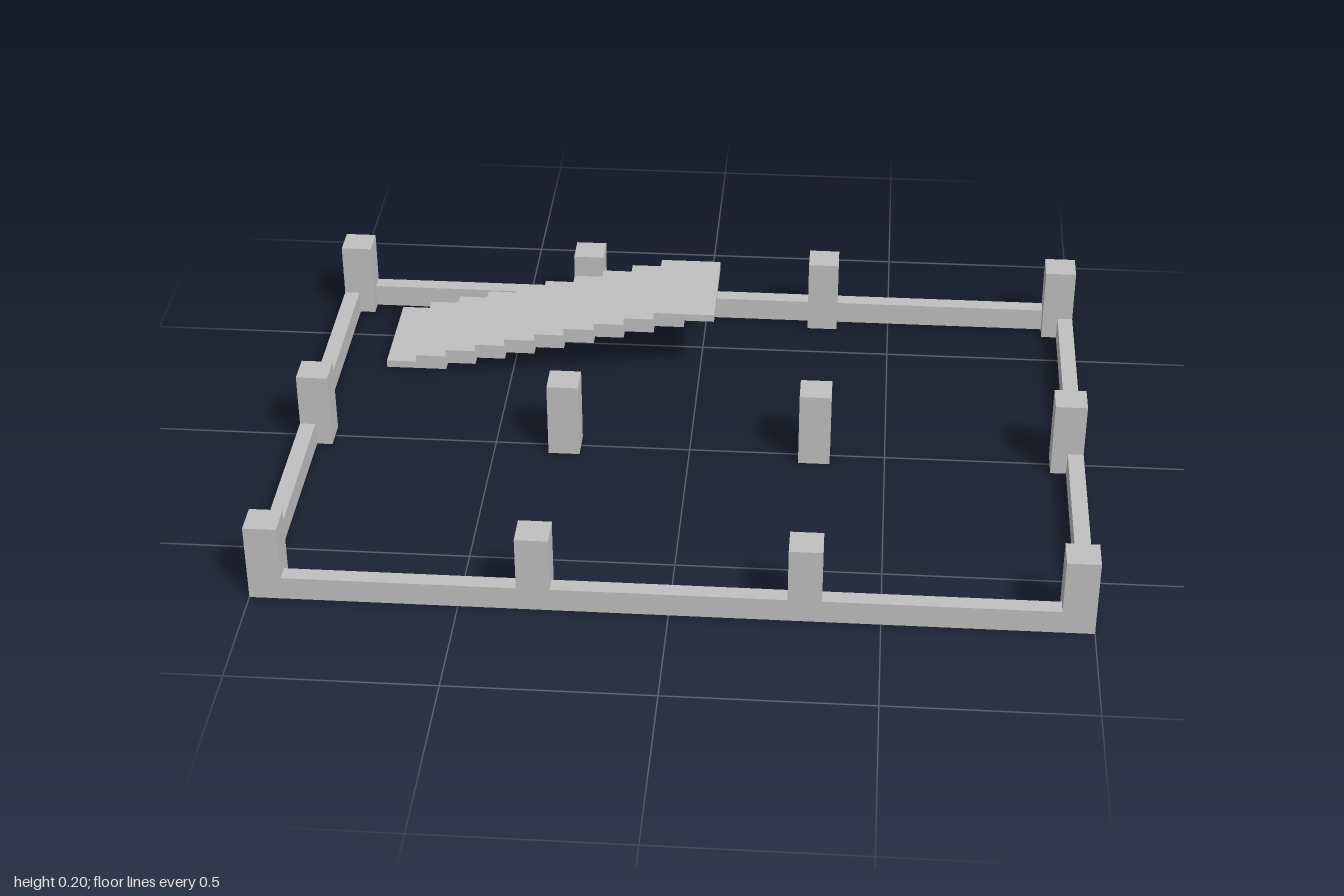
import * as THREE from 'three';

export function createModel() {
  const model = new THREE.Group();
  const grey = new THREE.MeshStandardMaterial({ color: 0xc0c0c0 });
  grey.name = 'concrete grey';

  // Box standing on height y, centred on x and z
  function box(name, w, h, d, x, y, z) {
    const mesh = new THREE.Mesh(new THREE.BoxGeometry(w, h, d), grey);
    mesh.name = name;
    mesh.position.set(x, y + h / 2, z);
    model.add(mesh);
  }

  // Columns on a four by three grid
  const columnX = [-0.96, -0.32, 0.32, 0.96];
  const columnZ = [-0.66, 0, 0.66];
  for (const x of columnX) {
    for (const z of columnZ) box('column', 0.08, 0.2, 0.08, x, 0, z);
  }

  // Low perimeter walls, flush with the outer column faces
  for (const side of [-1, 1]) {
    for (const x of [-0.64, 0, 0.64]) {
      box(side > 0 ? 'frontWall' : 'backWall', 0.56, 0.06, 0.04, x, 0, side * 0.68);
    }
    for (const z of [-0.33, 0.33]) {
      box(side > 0 ? 'leftWall' : 'rightWall', 0.04, 0.06, 0.58, side * 0.98, 0, z);
    }
  }

  // Stair of overlapping slabs, rising towards +x
  for (let i = 0; i < 10; i++) {
    box('stairTread', 0.16, 0.02, 0.28, -0.76 + i * 0.08, i * 0.02, -0.48);
  }

  return model;
}
